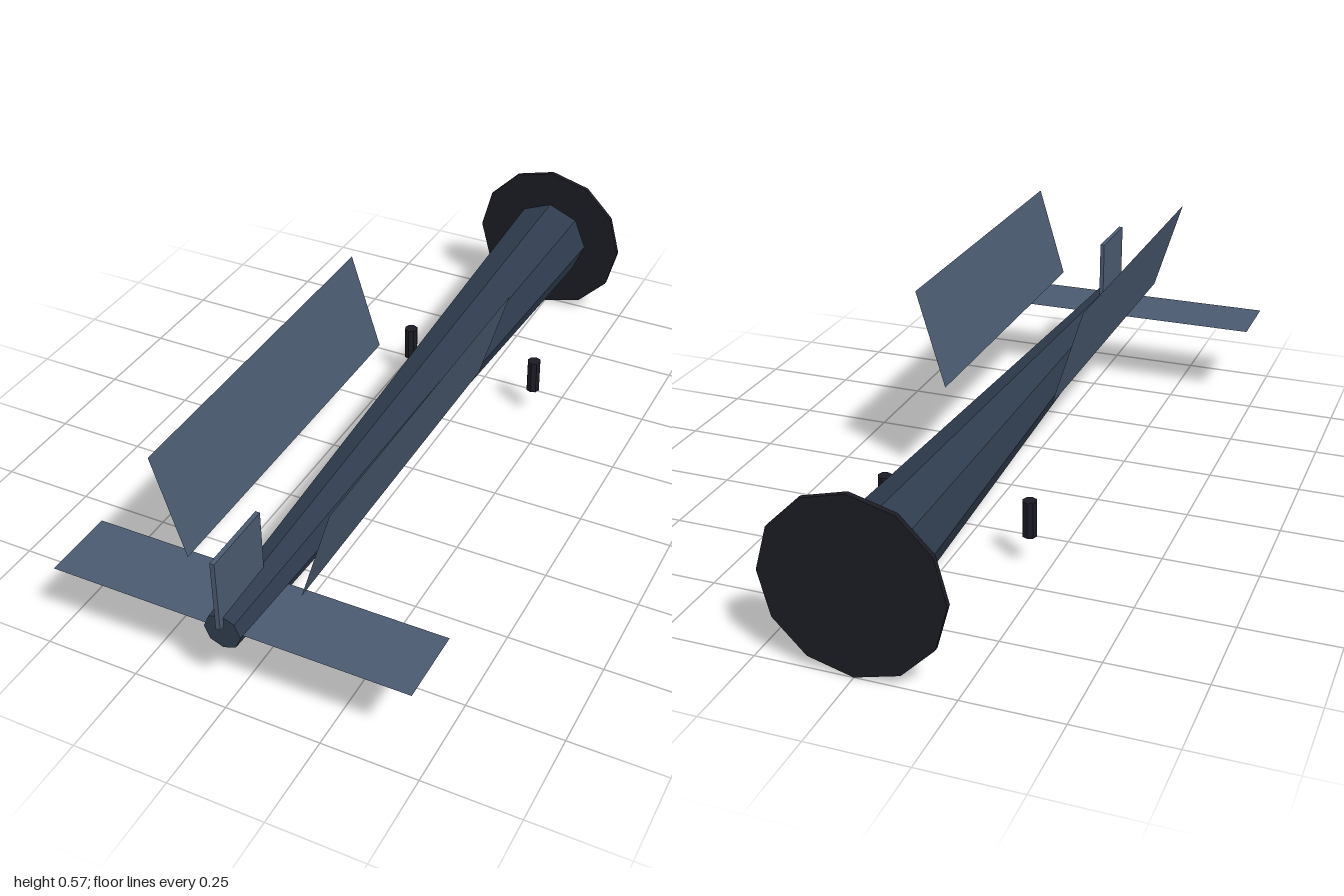
import * as THREE from 'three';

export function createModel() {
  const model = new THREE.Group();
  const AXIS_Y = 0.23;

  const material = (name, color, extra = {}) =>
    Object.assign(new THREE.MeshStandardMaterial({ color, flatShading: true, ...extra }), { name });
  const hull = material('dark slate', 0x2f3c4e);
  const panel = material('steel blue', 0x4a5a70, { side: THREE.DoubleSide });
  const black = material('near black', 0x1b1b24);

  const add = (name, geometry, mat, x, y, z) => {
    const mesh = new THREE.Mesh(geometry, mat);
    mesh.name = name;
    mesh.position.set(x, y, z);
    model.add(mesh);
    return mesh;
  };

  // Tapered eight-sided body, narrow end forward
  const body = new THREE.CylinderGeometry(0.048, 0.122, 1.97, 8).rotateX(Math.PI / 2);
  add('body', body, hull, 0, AXIS_Y, 0);

  // Twelve-sided plate closing the wide rear end
  const plate = new THREE.CylinderGeometry(0.229, 0.229, 0.014, 12).rotateX(Math.PI / 2);
  add('rearPlate', plate, black, 0, AXIS_Y, -0.993);

  // Flat wing across the nose
  const wing = new THREE.PlaneGeometry(0.94, 0.195).rotateX(-Math.PI / 2);
  add('noseWing', wing, panel, 0, AXIS_Y, 0.878);

  // Upright fin on the nose
  add('noseFin', new THREE.BoxGeometry(0.012, 0.195, 0.196), panel, 0, 0.347, 0.902);

  for (const side of [-1, 1]) {
    const label = side > 0 ? 'left' : 'right';

    // Long thin panels leaning outward in a V
    const lean = new THREE.PlaneGeometry(0.98, Math.hypot(0.08, 0.262)).rotateY(Math.PI / 2);
    const fin = add(label + 'LongPanel', lean, panel, side * 0.19, 0.443, 0.39);
    fin.rotation.z = -side * Math.atan2(0.08, 0.262);

    // Small upright pegs beside the body
    add(label + 'Peg', new THREE.CylinderGeometry(0.019, 0.019, 0.098, 8), black, side * 0.196, 0.133, -0.394);
  }

  return model;
}
